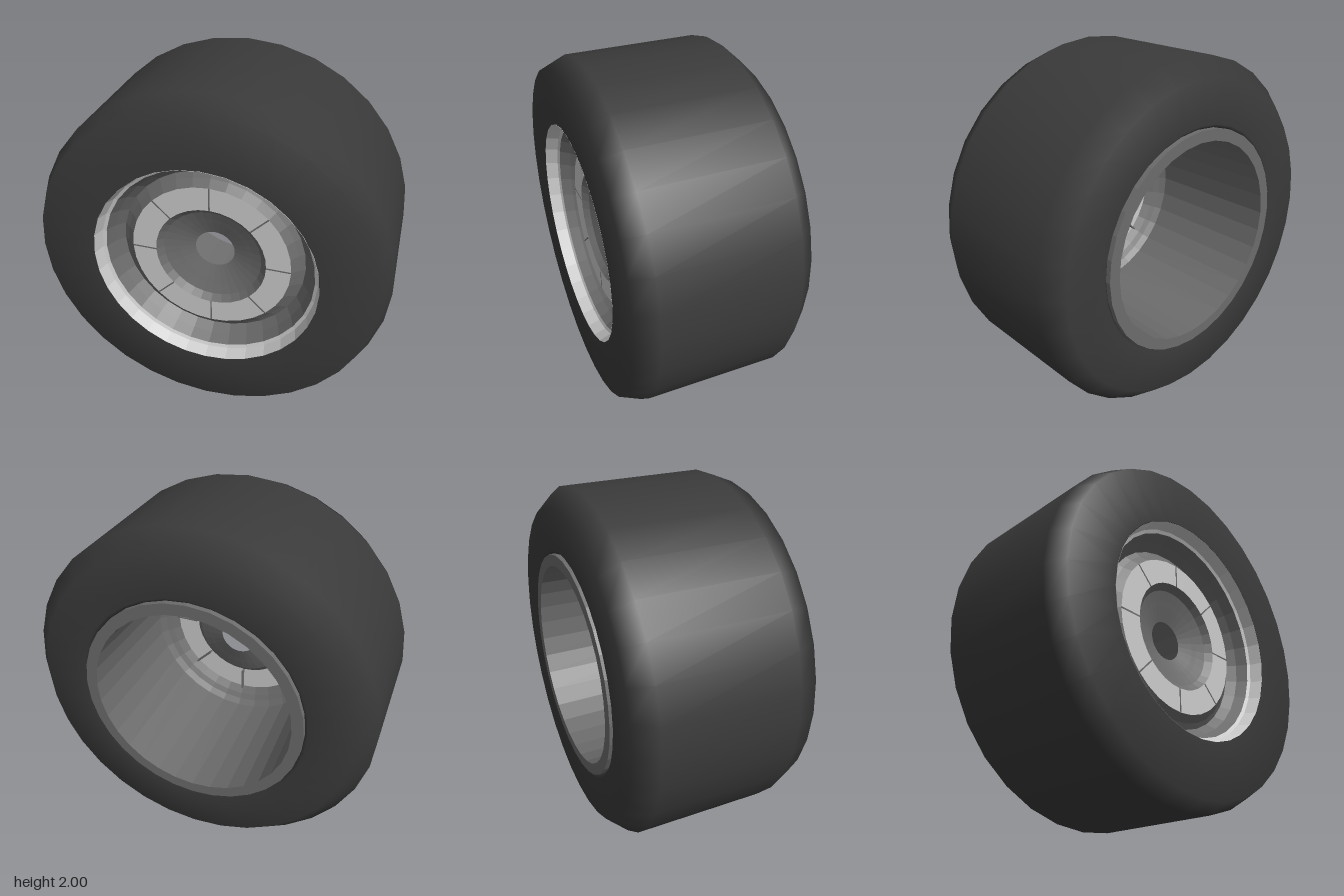
import * as THREE from 'three';

const SEGMENTS = 32;
const TIRE = 0x3a3a3a, DARK = 0x6c6c6c, LIGHT = 0xcccccc;

function material(color, flat) {
  return new THREE.MeshStandardMaterial({ color, flatShading: flat, side: THREE.DoubleSide });
}

// Revolve a [radius, z] profile around the wheel axle (z)
function revolve(name, profile, color, { flat = true, segments = SEGMENTS, start = 0, sweep = Math.PI * 2 } = {}) {
  const points = profile.map(([r, z]) => new THREE.Vector2(r, z));
  const geometry = new THREE.LatheGeometry(points, segments, start, sweep);
  geometry.rotateX(Math.PI / 2);
  const mesh = new THREE.Mesh(geometry, material(color, flat));
  mesh.name = name;
  return mesh;
}

export function createModel() {
  const wheel = new THREE.Group();
  wheel.name = 'wheel';

  // Tire: small shoulder at the front, larger one at the back
  wheel.add(revolve('tire', [
    [0.64, 0.42], [0.64, -0.47], [0.66, -0.49], [0.9, -0.49], [1, -0.38],
    [1, 0.38], [0.95, 0.5], [0.64, 0.5],
  ], TIRE, { flat: false }));

  // Rim: bright front lip, stepped well, deep barrel with a rear flange
  wheel.add(revolve('frontLip', [[0.638, 0.5], [0.618, 0.43], [0.6, 0.42]], LIGHT));
  wheel.add(revolve('rimWell', [[0.6, 0.42], [0.57, 0.36], [0.53, 0.31]], DARK));
  wheel.add(revolve('barrel', [
    [0.53, 0.31], [0.56, 0.28], [0.575, -0.5], [0.64, -0.5], [0.64, -0.46],
  ], DARK));

  // Dished centre around the face panels, with an open axle hole
  wheel.add(revolve('outerBevel', [[0.53, 0.31], [0.5, 0.33], [0.46, 0.365]], DARK));
  wheel.add(revolve('innerDish', [[0.32, 0.365], [0.285, 0.33], [0.23, 0.31]], DARK));
  wheel.add(revolve('hub', [[0.23, 0.31], [0.2, 0.3], [0.115, 0.27]], DARK));

  // Eight face panels separated by thin ribs
  const ribGeometry = new THREE.BoxGeometry(0.14, 0.008, 0.032);
  ribGeometry.translate(0.39, 0, 0.351);
  for (let i = 0; i < 8; i++) {
    const angle = i * Math.PI / 4;
    wheel.add(revolve('facePanel', [[0.46, 0.365], [0.32, 0.365]], LIGHT,
      { segments: SEGMENTS / 8, start: angle, sweep: Math.PI / 4 }));
    const rib = new THREE.Mesh(ribGeometry, material(DARK, true));
    rib.name = 'panelRib';
    rib.rotation.z = angle;
    wheel.add(rib);
  }

  wheel.position.y = 1;
  const model = new THREE.Group();
  model.name = 'wheelAssembly';
  model.add(wheel);
  return model;
}
